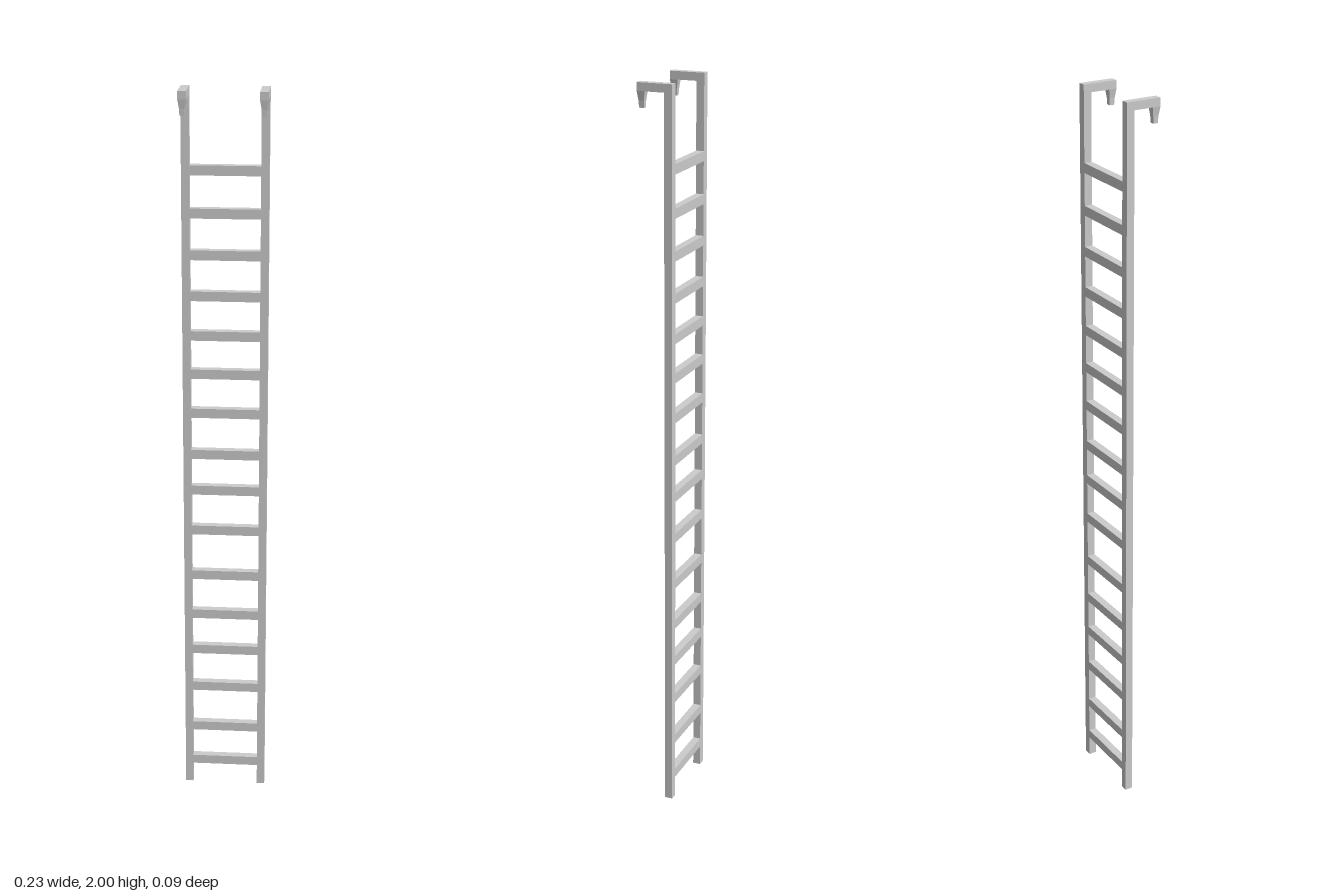
import * as THREE from 'three';

const RAIL = 0.0215;           // square section of rails and hook arms
const RAIL_X = 0.1028;         // rail centre line
const BACK = -0.0475, FRONT = 0.0475;
const RUNG_HEIGHT = 0.026;
const RUNG_Y = [0.072, 0.182, 0.31, 0.427, 0.537, 0.657, 0.792, 0.91,
  1.014, 1.132, 1.242, 1.348, 1.456, 1.566, 1.676, 1.788];

const material = new THREE.MeshStandardMaterial({ color: 0xcccccc, flatShading: true });

function addBox(parent, name, w, h, d, x, y, z) {
  const mesh = new THREE.Mesh(new THREE.BoxGeometry(w, h, d), material);
  mesh.name = name;
  mesh.position.set(x, y, z);
  parent.add(mesh);
  return mesh;
}

// Box whose lower face is shrunk to the given width and depth
function addTaper(parent, name, top, bottom, h, x, y, z) {
  const mesh = addBox(parent, name, top[0], h, top[1], x, y, z);
  const p = mesh.geometry.attributes.position;
  for (let i = 0; i < p.count; i++) {
    if (p.getY(i) > 0) continue;
    p.setX(i, p.getX(i) * bottom[0] / top[0]);
    p.setZ(i, p.getZ(i) * bottom[1] / top[1]);
  }
  mesh.geometry.computeVertexNormals();
}

export function createModel() {
  const ladder = new THREE.Group();
  ladder.name = 'ladder';
  const railZ = BACK + RAIL / 2;

  for (const [side, s] of [['left', 1], ['right', -1]]) {
    const x = s * RAIL_X;
    // Upright rail
    addBox(ladder, side + 'Rail', RAIL, 2, RAIL, x, 1, railZ);

    // Hook: forward arm, tapered claw and narrow tip
    const hook = new THREE.Group();
    hook.name = side + 'Hook';
    const armLength = FRONT - BACK - RAIL;
    addBox(hook, 'hookArm', RAIL, RAIL, armLength, x, 2 - RAIL / 2, FRONT - armLength / 2);
    const clawZ = FRONT - RAIL / 2;
    const armBottom = 2 - RAIL;
    addTaper(hook, 'hookClaw', [RAIL, RAIL], [0.014, 0.015], armBottom - 1.955, x, (armBottom + 1.955) / 2, clawZ);
    addTaper(hook, 'hookTip', [0.014, 0.015], [0.012, 0.013], 0.018, x, 1.946, clawZ);
    ladder.add(hook);
  }

  // Rungs, unevenly spaced, flush with the rails
  const rungLength = 2 * RAIL_X - RAIL;
  RUNG_Y.forEach((y, i) => addBox(ladder, 'rung' + (i + 1), rungLength, RUNG_HEIGHT, RAIL, 0, y, railZ));

  return ladder;
}
